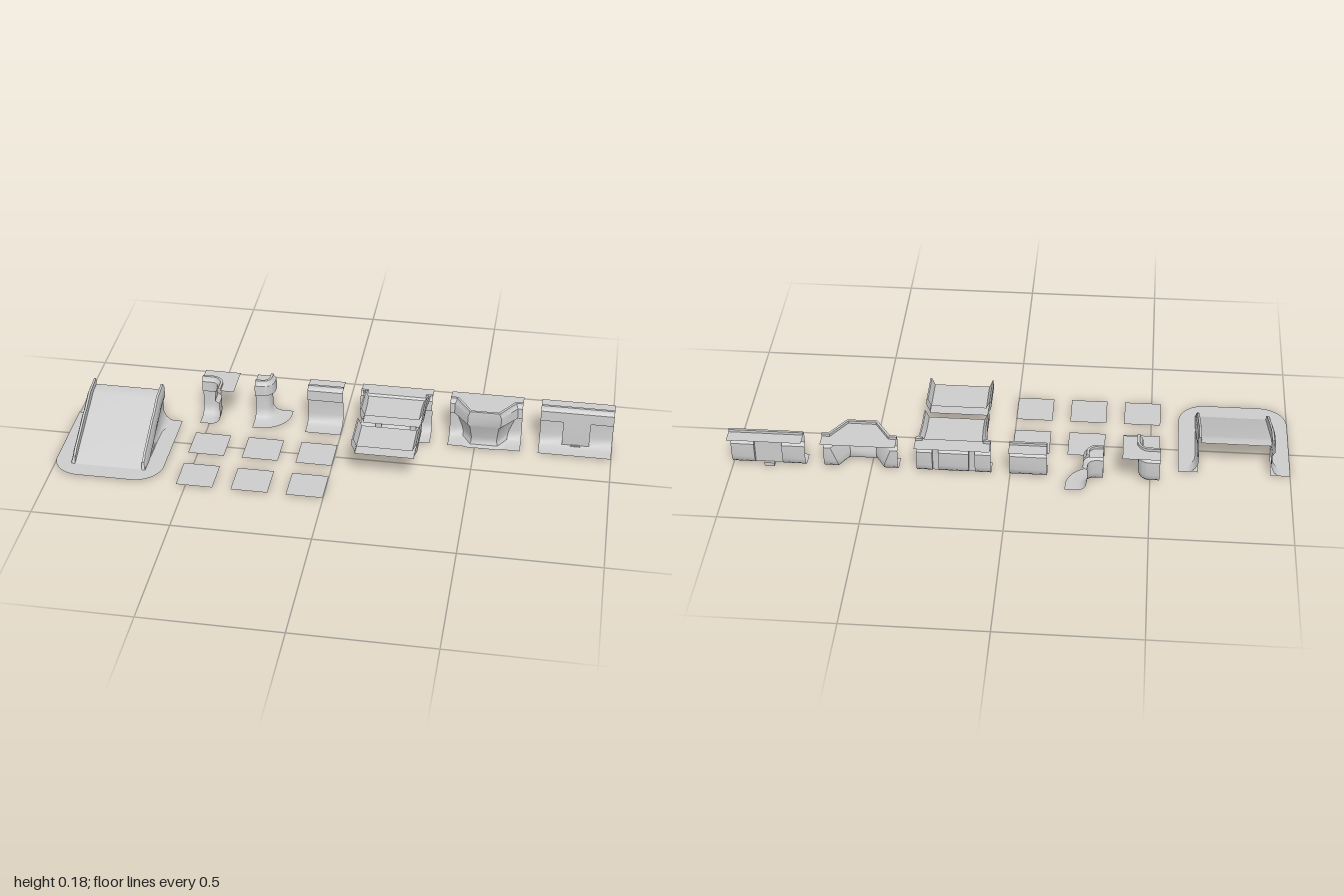
import * as THREE from 'three';
import { toCreasedNormals } from 'three/addons/utils/BufferGeometryUtils.js';

const FLOOR = 0.007, CELL = 0.1333, LIP_Z = -0.207, BACK = -0.0597, FRONT = 0.0737;
const material = new THREE.MeshStandardMaterial({ color: 0xcccccc, side: THREE.DoubleSide });
const clamp01 = (v) => Math.min(1, Math.max(0, v));

// Wall cross-section from the rear of the upper ground to the front of the floor: [forward, y]
const WALL = [
  [BACK, 0.157], [-0.01, 0.157], [-0.01, 0.167], [-0.001, 0.167], [0.002, 0.158], [0.01, 0.15],
  [0.012, 0.11], [-0.004, 0.1], [-0.004, 0.045], [0, 0.025], [0.01, 0.013], [0.028, FLOOR], [FRONT, FLOOR],
];
const LAST = WALL.length - 1;

// Skin a surface over a row of cross-sections, each a list of [x, y, z]
function loft(name, sections, closed = false) {
  const n = sections[0].length, index = [];
  for (let i = 0; i < sections.length - 1; i++) {
    for (let j = 0; j < (closed ? n : n - 1); j++) {
      const k = (j + 1) % n, a = i * n + j, b = i * n + k, c = a + n, d = b + n;
      index.push(a, b, c, b, d, c);
    }
  }
  const g = new THREE.BufferGeometry();
  g.setAttribute('position', new THREE.Float32BufferAttribute(sections.flat(2), 3));
  g.setIndex(index);
  return named(name, toCreasedNormals(g, 0.6));
}

function named(name, geometry) {
  const mesh = new THREE.Mesh(geometry, material);
  mesh.name = name;
  return mesh;
}

// Piecewise linear lookup in a list of [key, value], keys rising
function lookup(table, t) {
  if (t <= table[0][0]) return table[0][1];
  for (let i = 1; i < table.length; i++) {
    const [a, va] = table[i - 1], [b, vb] = table[i];
    if (t <= b) return va + (vb - va) * (t - a) / (b - a);
  }
  return table[table.length - 1][1];
}

// Straight wall; columns push the lower wall out, a gate removes the raised lip
function straightWall(name, x0, x1, columns = [], gate = null) {
  const stops = [[x0, false, false]];
  const marks = columns.flatMap(([a, b]) => [[a, 'col', true], [b, 'col', false]]);
  if (gate) marks.push([gate[0], 'gate', true], [gate[1], 'gate', false]);
  marks.sort((p, q) => p[0] - q[0]);
  let col = false, open = false;
  for (const [x, kind, on] of marks) {
    stops.push([x, col, open]);
    if (kind === 'col') col = on; else open = on;
    stops.push([x, col, open]);
  }
  stops.push([x1, col, open]);
  return loft(name, stops.map(([x, c, o]) => WALL.map(([d, y], j) => [
    x, o ? Math.min(y, 0.157) : y, LIP_Z + (c && j > 6 ? Math.max(d, 0.012) : d),
  ])));
}

// Quarter turn wall round a cell corner; inner turns hold the floor inside the bend
function cornerWall(name, cx, cz, inner) {
  const a = inner ? FRONT : -BACK, r = 0.035, steps = 12, path = [[0, a, 0, 1]];
  for (let i = 0; i <= steps; i++) {
    const t = (i / steps) * Math.PI / 2, nu = Math.sin(t), nv = Math.cos(t);
    path.push([a - r + r * nu, a - r + r * nv, nu, nv]);
  }
  path.push([a, 0, 1, 0]);
  const side = inner ? -1 : 1;
  return loft(name, path.map(([u, v, nu, nv]) => WALL.map(([d, y], j) => {
    let p = [u + side * d * nu, v + side * d * nv];
    if (inner && j === 0) { const s = CELL / Math.max(u, v); p = [u * s, v * s]; }
    if (j === (inner ? LAST : 0)) p = [0, 0];
    if (inner && j === 0) { const s = CELL / Math.max(u, v); p = [u * s, v * s]; }
    return [cx + p[0], y, cz + side * p[1]];
  })));
}

// Wall with a faceted bay whose lower part tapers toward the floor
function bayWall(cx) {
  const top = [[-CELL, 0], [-0.11, 0], [-0.055, 0.082], [0.055, 0.082], [0.11, 0], [CELL, 0]];
  const low = [[-CELL, 0], [-0.075, 0], [-0.045, 0.05], [0.045, 0.05], [0.075, 0], [CELL, 0]];
  const miter = [0, -0.53, -0.53, 0.53, 0.53, 0];
  return loft('bayWall', top.map(([x, f], i) => WALL.map(([d, y], j) => {
    if (j === 0) return [cx + x, y, LIP_Z + d];
    const t = clamp01((0.1 - y) / 0.093);
    const px = x + (low[i][0] - x) * t, pf = f + (low[i][1] - f) * t;
    if (j === LAST) return [cx + px, y, LIP_Z + FRONT];
    return [cx + px + miter[i] * d, y, LIP_Z + Math.min(pf + d, Math.max(FRONT, f))];
  })));
}

// Bridge deck with leaning side rails; stops are [z, rail height, extra half width]
function deck(name, cx, stops) {
  return loft(name, stops.map(([z, rail, w]) => {
    const half = [[0.1, 0.15], [0.112, rail], [0.117, rail], [0.117, 0.15], [0.106, 0.128], [0.106, 0.118]];
    const left = half.map(([x, y]) => [cx - x - w, y, z]);
    const right = half.map(([x, y]) => [cx + x + w, y, z]).reverse();
    return [...left, ...right];
  }), true);
}

function ramp() {
  const g = new THREE.Group();
  g.name = 'ramp';
  g.position.x = -0.8;
  // Sloping surface
  const slope = [[-CELL, 0.14], [-0.1, 0.139], [-0.08, 0.133], [0.2, FLOOR]];
  g.add(loft('rampSurface', [-0.124, 0.124].map((x) => slope.map(([z, y]) => [x, y, z]))));

  // Stepped side walls with an overhanging band and a flared foot
  const rim = [[-CELL, 0.165], [-0.07, 0.157], [-0.055, 0.155], [0.01, 0.12], [0.027, 0.117], [0.12, 0.07],
    [0.13, 0.065], [0.165, 0.05], [0.175, 0.038], [0.19, 0.032], [0.2, FLOOR]];
  const band = [[-CELL, 0.112], [-0.1, 0.11], [-0.07, 0.1], [0.133, FLOOR]];
  const zs = [...new Set([...rim, ...band, ...slope].map((p) => p[0]))].sort((p, q) => q - p);
  const sections = zs.map((z) => {
    const top = lookup(rim, z), b = lookup(band, z), flare = 0.008 + 0.027 * clamp01((-0.05 - z) / 0.06);
    const under = Math.max(FLOOR, b - 0.016);
    return [
      [0.124, lookup(slope, z), z], [0.124, top, z], [0.132, top, z],
      [0.137, Math.max(b, top - 0.012), z], [0.138, b, z], [0.13, under, z],
      [0.13, Math.min(under, 0.045), z], [0.13 + flare * 0.25, Math.min(under, 0.024), z],
      [0.13 + flare * 0.6, Math.min(under, 0.012), z], [0.13 + flare, FLOOR, z],
    ];
  });
  const side = loft('rampSide', sections);
  const other = side.clone();
  other.scale.x = -1;
  g.add(side, other);

  // Ground apron round three sides, with rounded front corners
  const s = new THREE.Shape();
  const f = 2 * CELL, r = 0.1;
  s.moveTo(-0.2, CELL);
  s.lineTo(-0.2, -f + r);
  s.absarc(-0.2 + r, -f + r, r, Math.PI, Math.PI * 1.5);
  s.absarc(0.2 - r, -f + r, r, Math.PI * 1.5, Math.PI * 2);
  s.lineTo(0.2, CELL);
  s.lineTo(0.13, CELL);
  s.lineTo(0.13, -0.2);
  s.lineTo(-0.13, -0.2);
  s.lineTo(-0.13, CELL);
  const apron = named('rampApron', new THREE.ShapeGeometry(s, 10));
  apron.rotation.x = -Math.PI / 2;
  apron.position.y = FLOOR;
  g.add(apron);
  return g;
}

export function createModel() {
  const model = new THREE.Group();
  model.name = 'terrainKit';
  model.add(ramp());

  // Corner and straight walls
  model.add(cornerWall('innerCornerWall', -4 * CELL, -CELL, true));
  model.add(cornerWall('outerCornerWall', -2.5 * CELL, -2 * CELL, false));
  model.add(straightWall('plainWall', -CELL, 0));

  // Bridge gate wall with two columns, its deck, and a loose deck
  model.add(straightWall('gateWall', 0.0667, 0.3333, [[0.124, 0.146], [0.254, 0.276]], [0.092, 0.308]));
  model.add(deck('gateDeck', 0.2, [[-0.212, 0.167, 0.008], [-0.19, 0.17, 0.003], [-0.14, 0.178, 0], [-0.0667, 0.178, 0]]));
  model.add(deck('looseDeck', 0.2, [[0, 0.178, 0], [CELL, 0.178, 0]]));

  // Bay wall and the wall with a central column and step
  model.add(bayWall(4 * CELL));
  model.add(straightWall('columnWall', 0.7333, 1, [[0.817, 0.917]]));
  const step = named('columnStep', new THREE.BoxGeometry(0.036, 0.015, 0.016));
  step.position.set(0.867, 0.0075, -0.197);
  model.add(step);

  // Loose ground tiles
  for (const x of [-3.5, -2, -0.5]) {
    for (const z of [0, 1.5]) {
      const tile = named('groundTile', new THREE.PlaneGeometry(CELL, CELL));
      tile.rotation.x = -Math.PI / 2;
      tile.position.set(x * CELL, FLOOR, z * CELL);
      model.add(tile);
    }
  }
  return model;
}
